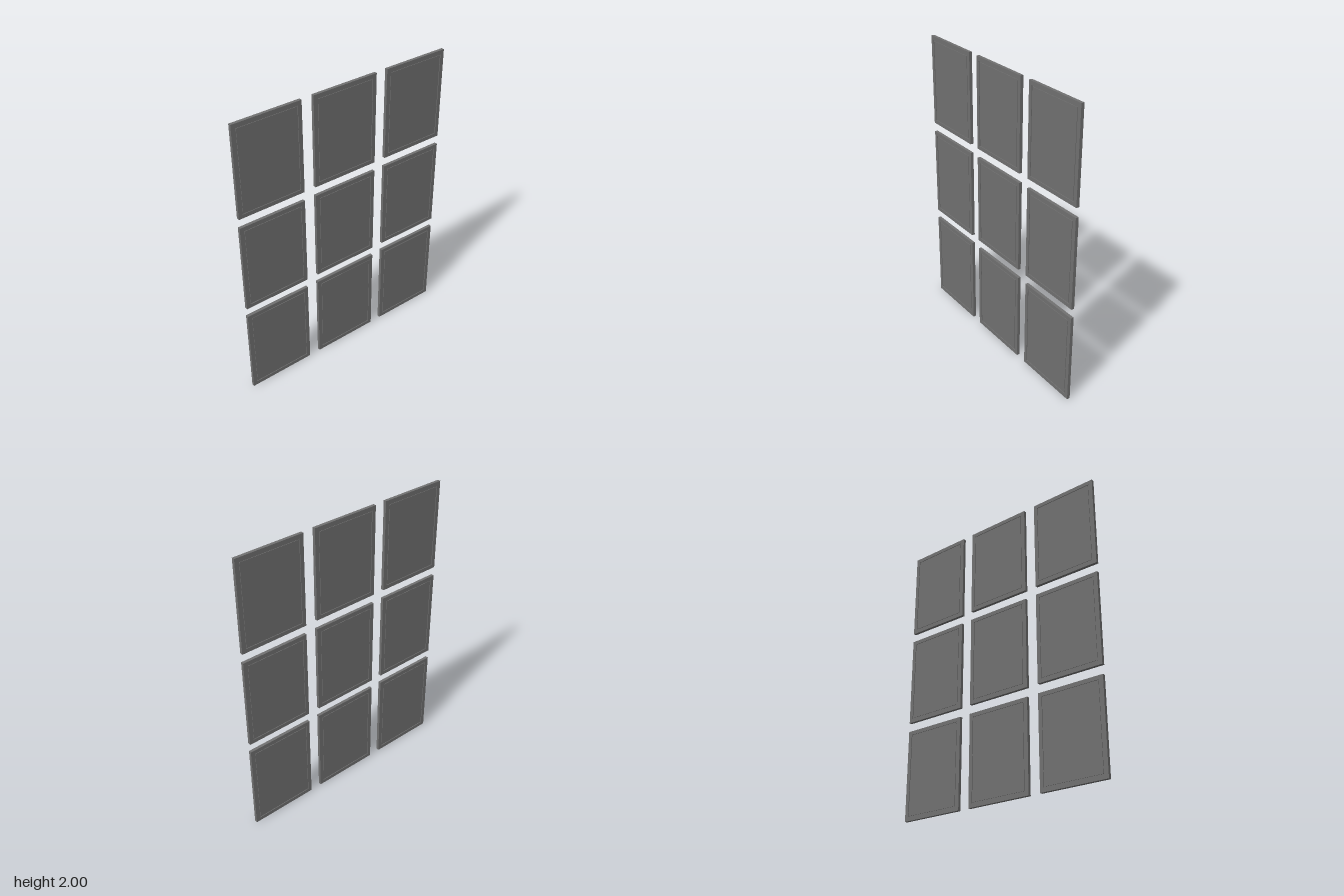
import * as THREE from 'three';

const W = 0.472, H = 0.624;           // one pane
const PITCH_X = 0.556, PITCH_Y = 0.688;
const DEPTH = 0.021, BORDER = 0.027;
const GROOVE = 0.006, CORE_DEPTH = 0.012;

function rect(target, w, h) {
  target.moveTo(-w / 2, -h / 2);
  target.lineTo(w / 2, -h / 2);
  target.lineTo(w / 2, h / 2);
  target.lineTo(-w / 2, h / 2);
  target.closePath();
  return target;
}

export function createModel() {
  const model = new THREE.Group();
  model.name = 'paneGrid';
  const material = new THREE.MeshStandardMaterial({ color: 0x707070 });
  const innerW = W - 2 * BORDER, innerH = H - 2 * BORDER;

  // Rectangular border with an open middle
  const outline = rect(new THREE.Shape(), W, H);
  outline.holes.push(rect(new THREE.Path(), innerW, innerH));
  const frameGeometry = new THREE.ExtrudeGeometry(outline, { depth: DEPTH, bevelEnabled: false });
  frameGeometry.translate(0, 0, -DEPTH / 2);

  // Panel, parted from the border by a narrow groove with a thin core as its floor
  const parts = {
    frame: frameGeometry,
    panel: new THREE.BoxGeometry(innerW - 2 * GROOVE, innerH - 2 * GROOVE, DEPTH - 0.002),
    grooveFloor: new THREE.BoxGeometry(innerW, innerH, CORE_DEPTH),
  };

  // Three rows of three panes
  for (let row = 0; row < 3; row++) {
    for (let col = 0; col < 3; col++) {
      const pane = new THREE.Group();
      pane.name = `pane_row${row + 1}_column${col + 1}`;
      for (const [name, geometry] of Object.entries(parts)) {
        const mesh = new THREE.Mesh(geometry, material);
        mesh.name = name;
        pane.add(mesh);
      }
      pane.position.set((col - 1) * PITCH_X, H / 2 + row * PITCH_Y, 0);
      model.add(pane);
    }
  }
  return model;
}
